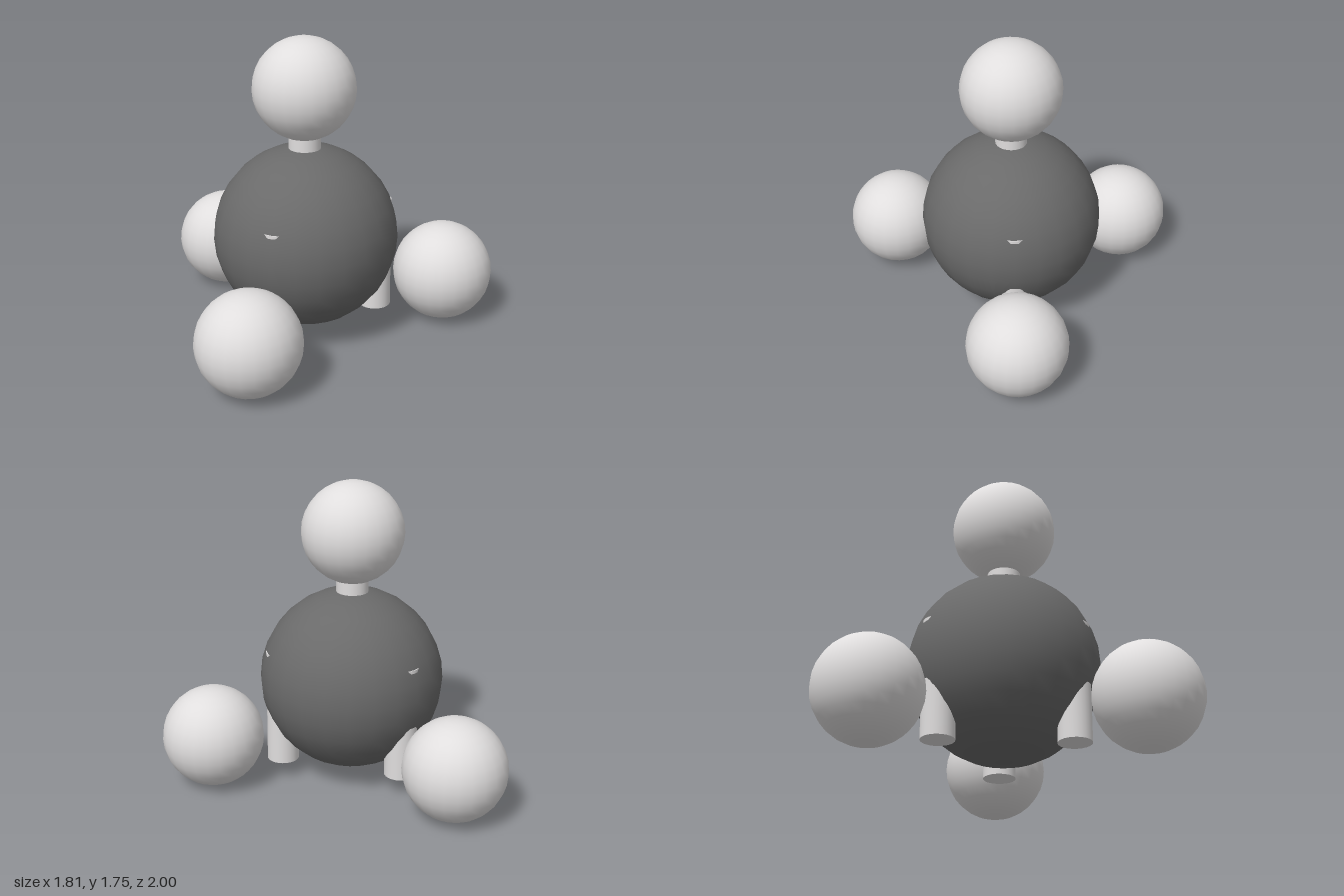
import * as THREE from 'three';

export function createModel() {
  const model = new THREE.Group();
  model.name = 'molecule';

  const darkGrey = new THREE.MeshStandardMaterial({ color: 0x6a6a6a });
  darkGrey.name = 'dark grey';
  const paleGrey = new THREE.MeshStandardMaterial({ color: 0xe0dede });
  paleGrey.name = 'pale grey';

  const add = (name, geometry, material, position) => {
    const mesh = new THREE.Mesh(geometry, material);
    mesh.name = name;
    mesh.position.copy(position);
    model.add(mesh);
  };

  // Large central ball
  const centre = new THREE.Vector3(-0.203, 0.59, 0);
  add('centralAtom', new THREE.SphereGeometry(0.53, 24, 16), darkGrey, centre);

  // Outer balls: one on top, three spread evenly around the base
  const outer = [new THREE.Vector3(centre.x, 1.458, 0)];
  for (let i = 0; i < 3; i++) {
    const a = (i * Math.PI * 2) / 3;
    outer.push(new THREE.Vector3(centre.x + 0.818 * Math.cos(a), 0.292, 0.818 * Math.sin(a)));
  }

  // Each outer ball has an upright bond halfway to the centre
  const ball = new THREE.SphereGeometry(0.292, 24, 16);
  const bond = new THREE.CylinderGeometry(0.092, 0.092, 0.666, 24);
  outer.forEach((p, i) => {
    add(`outerAtom${i + 1}`, ball, paleGrey, p);
    add(`bond${i + 1}`, bond, paleGrey, p.clone().lerp(centre, 0.5));
  });

  return model;
}
